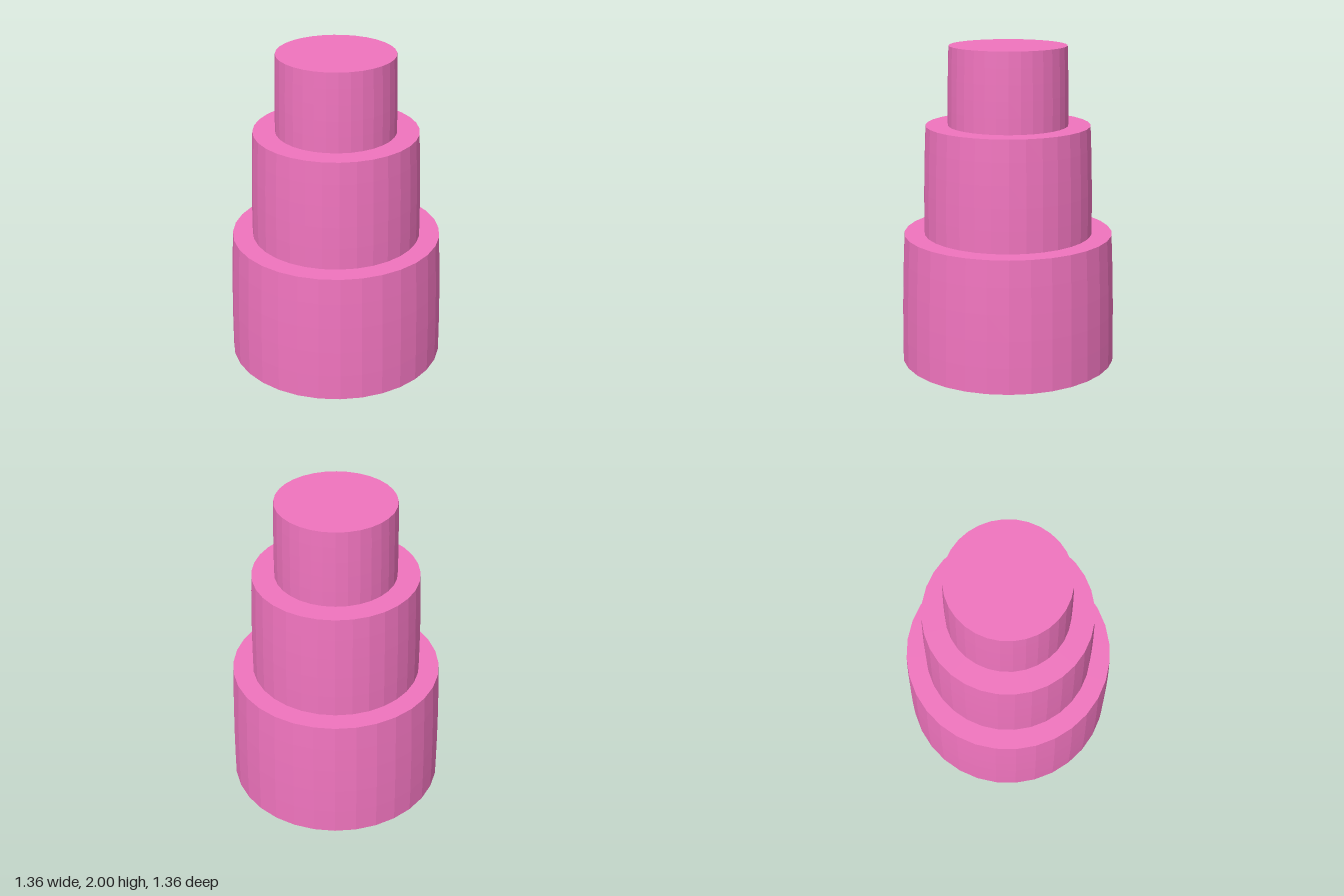
import * as THREE from 'three';

const SIDES = 32;
const ROWS = 5;

// One solid tier whose wall curves gently inward towards its flat top
function makeTier(name, bottom, top, baseRadius, topRadius, material) {
  const profile = [new THREE.Vector2(0, bottom)];
  for (let i = 0; i <= ROWS; i++) {
    const t = i / ROWS;
    const radius = baseRadius - (baseRadius - topRadius) * t * t;
    profile.push(new THREE.Vector2(radius, bottom + (top - bottom) * t));
  }
  profile.push(new THREE.Vector2(0, top));
  const mesh = new THREE.Mesh(new THREE.LatheGeometry(profile, SIDES), material);
  mesh.name = name;
  return mesh;
}

export function createModel() {
  const group = new THREE.Group();
  group.name = 'tieredCake';
  const icing = new THREE.MeshStandardMaterial({ color: 0xf074be, flatShading: true });

  // Three stacked tiers, each narrower than the one below
  group.add(
    makeTier('bottomTier', 0, 0.825, 0.68, 0.656, icing),
    makeTier('middleTier', 0.825, 1.51, 0.53, 0.512, icing),
    makeTier('topTier', 1.51, 2, 0.374, 0.364, icing)
  );
  return group;
}
